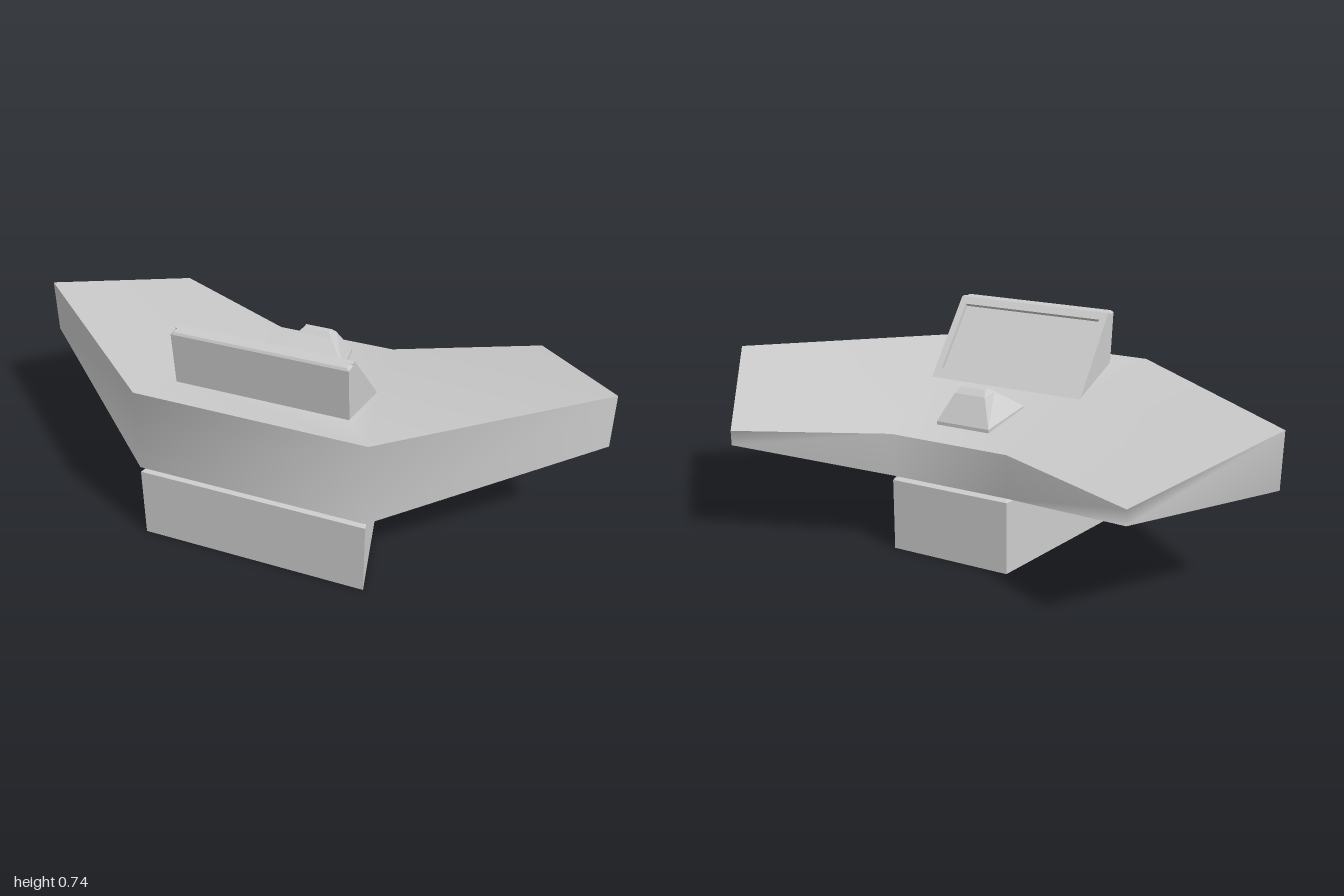
import * as THREE from 'three';

const grey = new THREE.MeshStandardMaterial({ color: 0xcccccc });

function addMesh(parent, name, geometry) {
  const mesh = new THREE.Mesh(geometry, grey);
  mesh.name = name;
  parent.add(mesh);
  return mesh;
}

// Indexed geometry with smooth normals inside one surface
function surface(points, triangles) {
  const g = new THREE.BufferGeometry();
  g.setAttribute('position', new THREE.Float32BufferAttribute(points.flat(), 3));
  g.setIndex(triangles.flat());
  g.computeVertexNormals();
  return g;
}

// Adds the x-mirrored half; right-half point i becomes i + n
const mirrorPoints = (pts) => [...pts, ...pts.map(([x, y, z]) => [-x, y, z])];
const mirrorTris = (tris, n) => [...tris, ...tris.map(([a, b, c]) => [a + n, c + n, b + n])];

// Closed wall between two rings, counterclockwise seen from above
function wall(lower, upper) {
  const n = lower.length, tris = [];
  for (let i = 0; i < n; i++) {
    const j = (i + 1) % n;
    tris.push([i, j, n + j], [i, n + j, n + i]);
  }
  return surface([...lower, ...upper], tris);
}

// Four-sided loft with flat faces from a list of rings, closed at both ends
function loft(rings) {
  const tris = [[0, 2, 1], [0, 3, 2]];
  for (let r = 0; r < rings.length - 1; r++) {
    for (let i = 0; i < 4; i++) {
      const a = r * 4 + i, b = r * 4 + (i + 1) % 4;
      tris.push([a, b, b + 4], [a, b + 4, a + 4]);
    }
  }
  const t = (rings.length - 1) * 4;
  tris.push([t, t + 1, t + 2], [t, t + 2, t + 3]);
  const g = surface(rings.flat(), tris).toNonIndexed();
  g.computeVertexNormals();
  return g;
}

// Trapezoid ring: front half-width and z, back half-width and z
const ring = (xf, zf, xb, zb, yf, yb = yf) =>
  [[-xf, yf, zf], [xf, yf, zf], [xb, yb, zb], [-xb, yb, zb]];

function buildDesk() {
  const desk = new THREE.Group();
  desk.name = 'desk';
  // Half outline: front corner, wing tip, wing back corner, inner back corner
  const outline = [[0.38, 0.49], [1, -0.04], [0.69, -0.49], [0.21, -0.27]];
  const topY = [0.55, 0.55, 0.41, 0.41];
  const lowY = [0.265, 0.36, 0.36, 0.265];
  const half = (ys) => outline.map(([x, z], i) => [x, ys[i], z]);
  const full = (h) => [...h, ...h.map(([x, y, z]) => [-x, y, z]).reverse()];

  addMesh(desk, 'deskEdge', wall(full(half(lowY)), full(half(topY))));

  // Dished top: points 4 and 5 are the foot of the console, back and front
  const top = mirrorPoints([...half(topY), [0.285, 0.49, 0.12], [0.285, 0.55, 0.38]]);
  const topTris = mirrorTris([[0, 1, 4], [1, 2, 3], [1, 3, 4], [0, 4, 5]], 6);
  topTris.push([4, 3, 9], [4, 9, 10], [0, 5, 11], [0, 11, 6]);
  addMesh(desk, 'deskTop', surface(top, topTris));

  // Underside: flat middle with two rising wings
  const under = mirrorPoints(half(lowY));
  const underTris = mirrorTris([[0, 2, 1], [0, 3, 2]], 4);
  underTris.push([0, 4, 7], [0, 7, 3]);
  const underside = surface(under, underTris).toNonIndexed();
  underside.computeVertexNormals();
  addMesh(desk, 'deskUnderside', underside);
  return desk;
}

function buildConsole() {
  const console = new THREE.Group();
  console.name = 'screenConsole';
  const halfW = 0.285, depth = 0.015;
  const foot = new THREE.Vector3(0, 0.49, 0.125);
  const slope = new THREE.Vector3(0, 0.245, 0.225);
  const length = slope.length();
  slope.normalize();
  const normal = new THREE.Vector3(0, slope.z, -slope.y);

  // Wedge body, lofted upwards
  addMesh(console, 'consoleBody', loft([
    ring(halfW, 0.376, halfW, 0.109, 0.45),
    ring(halfW, 0.399, halfW, 0.363, 0.727),
    ring(halfW - 0.008, 0.395, halfW - 0.008, 0.370, 0.735),
  ]));

  // Bezel plate with the screen opening
  const low = -0.045;
  const plate = new THREE.Shape([
    [-halfW, low], [halfW, low], [halfW, length], [-halfW, length],
  ].map(([x, y]) => new THREE.Vector2(x, y)));
  plate.holes.push(new THREE.Path([
    [-0.26, 0.037], [-0.26, 0.303], [0.26, 0.303], [0.26, 0.037],
  ].map(([x, y]) => new THREE.Vector2(x, y))));
  const bezel = new THREE.ExtrudeGeometry(plate, { depth, bevelEnabled: false });
  // Mitre the rear of the top edge so it lies level
  const p = bezel.attributes.position;
  for (let i = 0; i < p.count; i++) {
    if (p.getY(i) > length - 0.001 && p.getZ(i) < 0.001) {
      p.setY(i, length + depth * slope.z / slope.y);
    }
  }
  bezel.computeVertexNormals();
  bezel.translate(0, 0, -depth);
  bezel.applyMatrix4(new THREE.Matrix4()
    .makeBasis(new THREE.Vector3(-1, 0, 0), slope, normal)
    .setPosition(foot));
  addMesh(console, 'screenBezel', bezel);
  return console;
}

export function createModel() {
  const model = new THREE.Group();
  model.name = 'controlDesk';

  // Pedestal and the recessed neck above it
  addMesh(model, 'pedestal', loft([
    ring(0.38, 0.49, 0.21, -0.265, 0),
    ring(0.38, 0.49, 0.21, -0.265, 0.247),
    ring(0.35, 0.46, 0.19, -0.235, 0.257),
  ]));
  addMesh(model, 'neck', loft([
    ring(0.35, 0.46, 0.19, -0.235, 0.25),
    ring(0.35, 0.46, 0.19, -0.235, 0.27),
  ]));

  model.add(buildDesk());
  model.add(buildConsole());

  // Small raised control with sloping sides
  addMesh(model, 'controlHump', loft([
    ring(0.13, 0.015, 0.095, -0.17, 0.455, 0.42),
    ring(0.13, 0.015, 0.095, -0.17, 0.475, 0.442),
    ring(0.06, -0.06, 0.055, -0.12, 0.535, 0.53),
    ring(0.045, -0.075, 0.045, -0.1, 0.55, 0.548),
  ]));
  return model;
}
